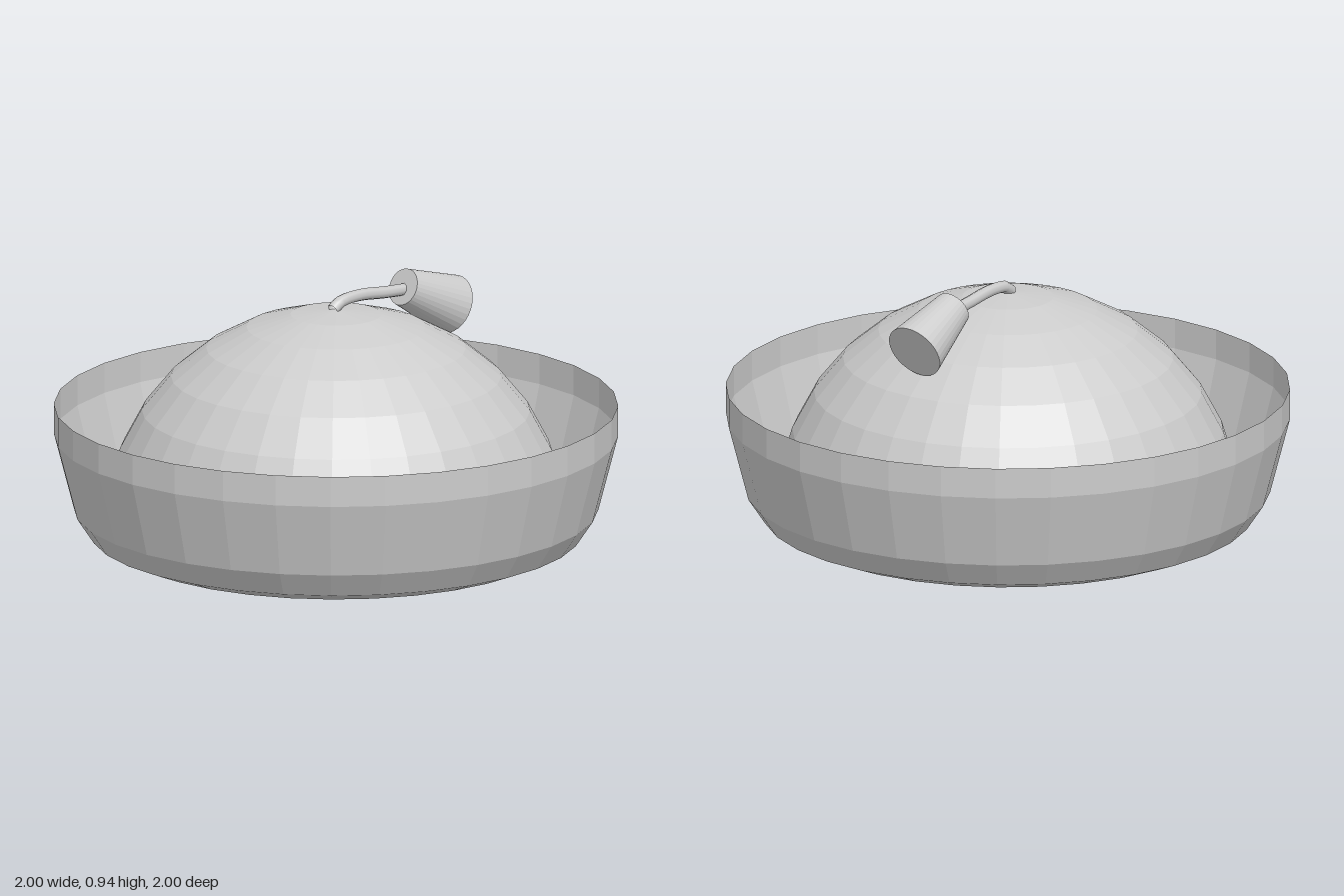
import * as THREE from 'three';

const SIDES = 32;

function addPart(group, name, geometry, flat = true) {
  const material = new THREE.MeshStandardMaterial({
    color: 0xcccccc, flatShading: flat, side: THREE.DoubleSide,
  });
  const mesh = new THREE.Mesh(geometry, material);
  mesh.name = name;
  group.add(mesh);
  return mesh;
}

export function createModel() {
  const model = new THREE.Group();
  model.name = 'hat';

  // Upturned brim: inner head band, rounded bottom edge, flared outer wall
  const profile = [
    [0.675, 0.505], [0.61, 0.13], [0.67, 0.04], [0.77, 0],
    [0.87, 0.04], [0.93, 0.13], [1, 0.4], [1, 0.51],
  ].map(([r, y]) => new THREE.Vector2(r, y));
  addPart(model, 'brim', new THREE.LatheGeometry(profile, SIDES));

  // Domed crown, open underneath
  const dome = new THREE.SphereGeometry(0.828, SIDES, 8, 0, Math.PI * 2, 0, Math.PI / 2);
  addPart(model, 'crown', dome).position.y = 0.03;

  // Cord from the top of the crown to the tassel
  const path = new THREE.CatmullRomCurve3([
    new THREE.Vector3(0, 0.86, 0.015),
    new THREE.Vector3(0, 0.882, -0.02),
    new THREE.Vector3(0, 0.89, -0.11),
    new THREE.Vector3(0, 0.877, -0.24),
    new THREE.Vector3(0, 0.87, -0.34),
  ]);
  addPart(model, 'cord', new THREE.TubeGeometry(path, 16, 0.022, 8), false);

  // Tassel: a tapered plug lying back on the crown
  const small = new THREE.Vector3(0, 0.88, -0.33);
  const large = new THREE.Vector3(0, 0.775, -0.56);
  const axis = small.clone().sub(large);
  const tassel = addPart(model, 'tassel',
    new THREE.CylinderGeometry(0.067, 0.107, axis.length(), SIDES));
  tassel.position.copy(small).add(large).multiplyScalar(0.5);
  tassel.quaternion.setFromUnitVectors(new THREE.Vector3(0, 1, 0), axis.normalize());

  return model;
}
